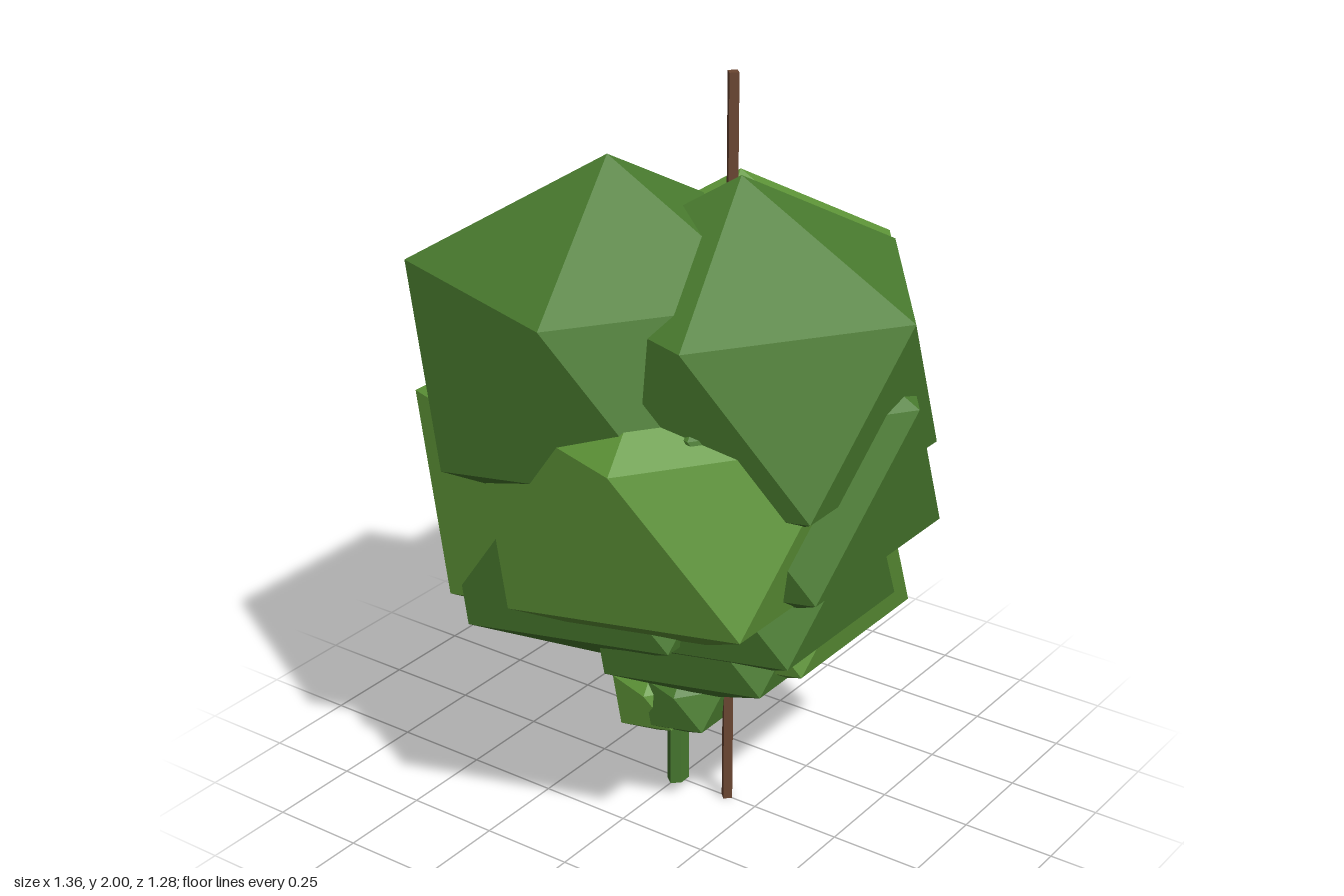
import * as THREE from 'three';
import { ConvexGeometry } from 'three/addons/geometries/ConvexGeometry.js';

const material = (name, color) => {
  const m = new THREE.MeshStandardMaterial({ color });
  m.name = name;
  return m;
};

// Twenty-sided clump with a corner straight up, slightly squashed
function clumpGeometry() {
  const ring = 0.495, height = 0.484, ringY = 0.216;
  const points = [new THREE.Vector3(0, height, 0), new THREE.Vector3(0, -height, 0)];
  for (let i = 0; i < 5; i++) {
    const a = (i * Math.PI * 2) / 5, b = a + Math.PI / 5;
    points.push(new THREE.Vector3(ring * Math.cos(a), ringY, ring * Math.sin(a)));
    points.push(new THREE.Vector3(ring * Math.cos(b), -ringY, ring * Math.sin(b)));
  }
  return new ConvexGeometry(points);
}

export function createModel() {
  const group = new THREE.Group();
  const light = material('light leaf green', 0x5f9638);
  const mid = material('leaf green', 0x4a7c2f);
  const stemGreen = material('stem green', 0x47782f);
  const brown = material('stake brown', 0x6b4632);
  const fruit = material('fruit brown', 0x7d4434);

  const add = (name, geometry, mat, x, y, z) => {
    const mesh = new THREE.Mesh(geometry, mat);
    mesh.name = name;
    mesh.position.set(x, y, z);
    group.add(mesh);
    return mesh;
  };

  // Leaf clumps winding around the stem: x, y, z, scale, colour
  const clump = clumpGeometry();
  const clumps = [
    [-0.09, 1.31, 0.166, 1, mid],
    [0.186, 1.265, 0, 1, mid],
    [0.065, 1.21, -0.175, 1, light],
    [-0.087, 1.12, -0.17, 1, mid],
    [0.185, 1.035, -0.035, 1, mid],
    [0.10, 0.995, 0.16, 1, light],
    [-0.187, 0.895, 0.04, 1, light],
    [-0.12, 0.825, 0.117, 0.9, mid],
    [0.155, 0.795, -0.01, 0.86, mid],
    [0.13, 0.73, -0.106, 0.88, light],
    [0.127, 0.642, 0.018, 0.7, mid],
    [-0.044, 0.64, -0.12, 0.68, mid],
    // small shoots at the base
    [-0.05, 0.26, 0.025, 0.24, light],
    [0.045, 0.285, 0.022, 0.24, mid],
    [0.01, 0.29, -0.02, 0.24, light],
  ];
  clumps.forEach(([x, y, z, s, mat], i) => {
    add(`leafClump${i + 1}`, clump, mat, x, y, z).scale.setScalar(s);
  });

  // Stem
  const stem = add('stem', new THREE.CylinderGeometry(0.026, 0.026, 1.2, 6).toNonIndexed(), stemGreen, 0, 0.6, 0);
  stem.geometry.computeVertexNormals();
  stem.scale.z = 1.4;

  // Square support stake
  const stake = new THREE.CylinderGeometry(0.017, 0.017, 2, 4).toNonIndexed();
  stake.computeVertexNormals();
  add('stake', stake, brown, 0.16, 1, 0);

  // Hanging fruit
  add('fruit', new THREE.SphereGeometry(0.025, 12, 8), fruit, -0.355, 0.52, -0.33);

  return group;
}
